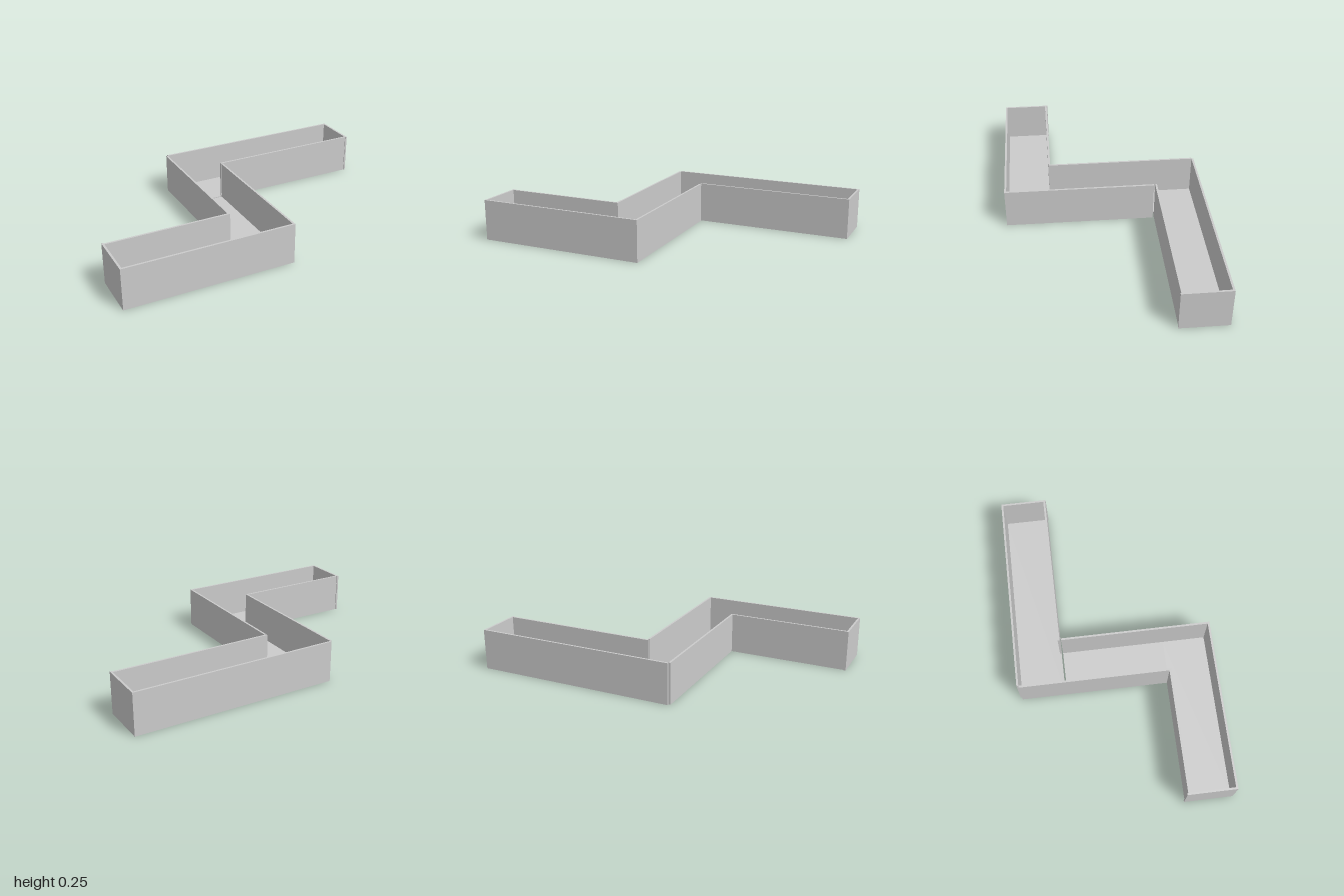
import * as THREE from 'three';

const HEIGHT = 0.25;
const FLOOR = 0.012;

export function createModel() {
  const model = new THREE.Group();
  model.name = 'zigzagPlanter';
  const material = new THREE.MeshStandardMaterial({ color: 0xcccccc });

  // Upright or flat panel given by its plan rectangle and its height
  function panel(name, x0, x1, z0, z1, height) {
    const mesh = new THREE.Mesh(new THREE.BoxGeometry(x1 - x0, height, z1 - z0), material);
    mesh.position.set((x0 + x1) / 2, height / 2, (z0 + z1) / 2);
    mesh.name = name;
    model.add(mesh);
  }

  // Side walls: butt-jointed thin boards
  const walls = [
    ['backWall', -0.238, 0.988, -0.604, -0.592],
    ['leftEndWall', 0.988, 1, -0.604, -0.316],
    ['innerFrontWall', 0.02, 0.988, -0.332, -0.32],
    ['middleLeftWall', 0.02, 0.032, -0.312, 0.592],
    ['middleRightWall', -0.25, -0.238, -0.592, 0.328],
    ['frontWall', -0.988, 0.032, 0.592, 0.604],
    ['rightEndWall', -1, -0.988, 0.311, 0.604],
    ['innerBackWall', -0.988, -0.25, 0.316, 0.328],
  ];
  for (const [name, ...rect] of walls) panel(name, ...rect, HEIGHT);

  // Floor boards, with a narrow gap between the back arm and the rest
  panel('backFloor', -0.238, 0.988, -0.592, -0.322, FLOOR);
  panel('middleFloor', -0.238, 0.02, -0.312, 0.328, FLOOR);
  panel('frontFloor', -0.988, 0.02, 0.328, 0.592, FLOOR);

  return model;
}
